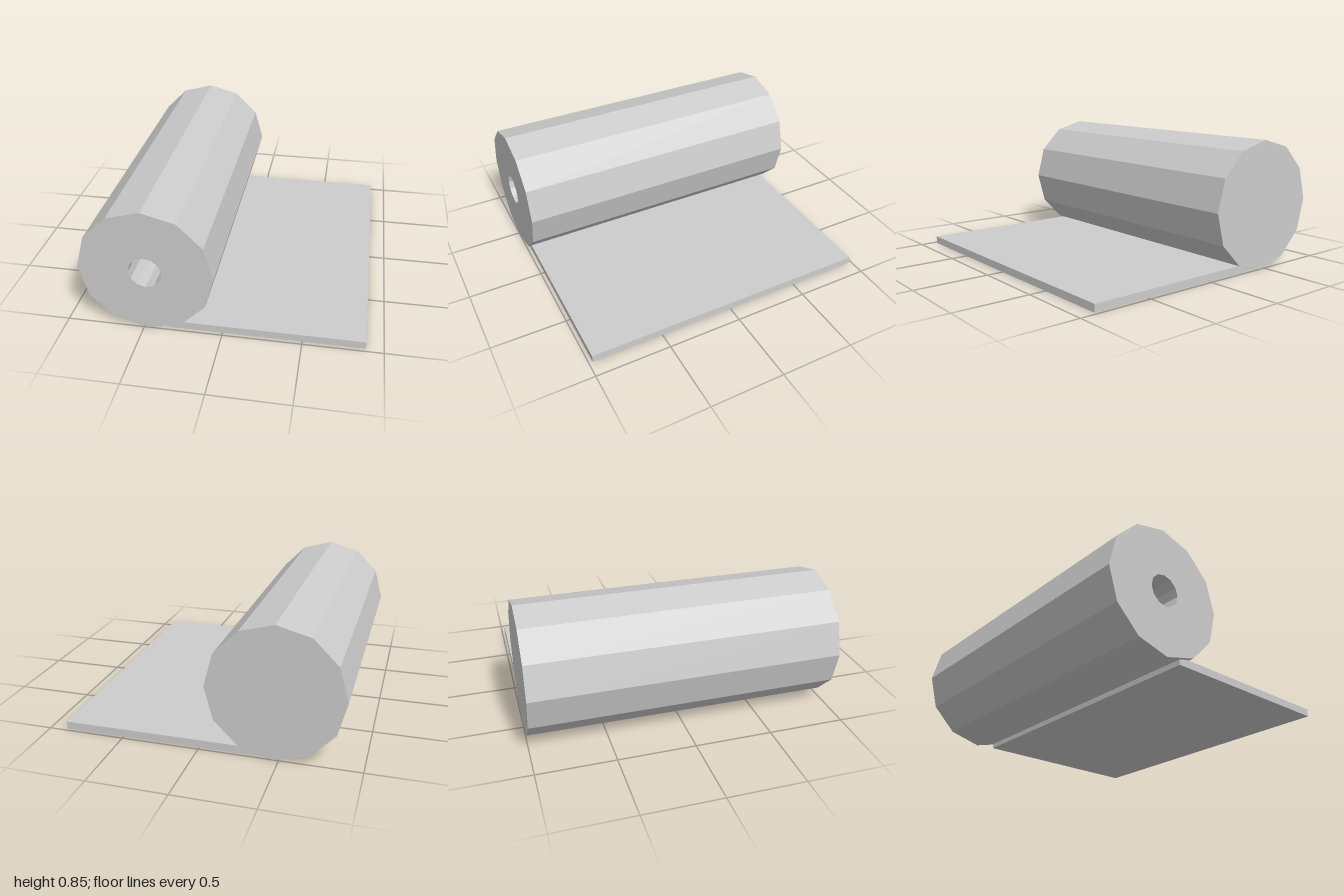
import * as THREE from 'three';

export function createModel() {
  const group = new THREE.Group();
  const grey = new THREE.MeshStandardMaterial({ color: 0xcccccc, flatShading: true });
  grey.name = 'matGrey';

  // Twelve-sided roll with a blind bore opening at the front
  const R = 0.425, bore = 0.105, half = 1, floor = -0.97;
  const profile = [
    [0, -half], [R, -half], [R, half], [bore, half], [bore, floor], [0, floor],
  ].map(([r, z]) => new THREE.Vector2(r, z));
  const rollGeometry = new THREE.LatheGeometry(profile, 12);
  rollGeometry.rotateX(Math.PI / 2);
  const roll = new THREE.Mesh(rollGeometry, grey);
  roll.name = 'rolledMat';
  roll.position.set(-0.467, R, 0);
  group.add(roll);

  // Unrolled end lying flat, tucked under the roll
  const left = -0.342, right = 0.89, thickness = 0.05;
  const sheet = new THREE.Mesh(
    new THREE.BoxGeometry(right - left, thickness, 1.955), grey);
  sheet.name = 'flatMat';
  sheet.position.set((left + right) / 2, thickness / 2, -0.002);
  group.add(sheet);

  return group;
}
